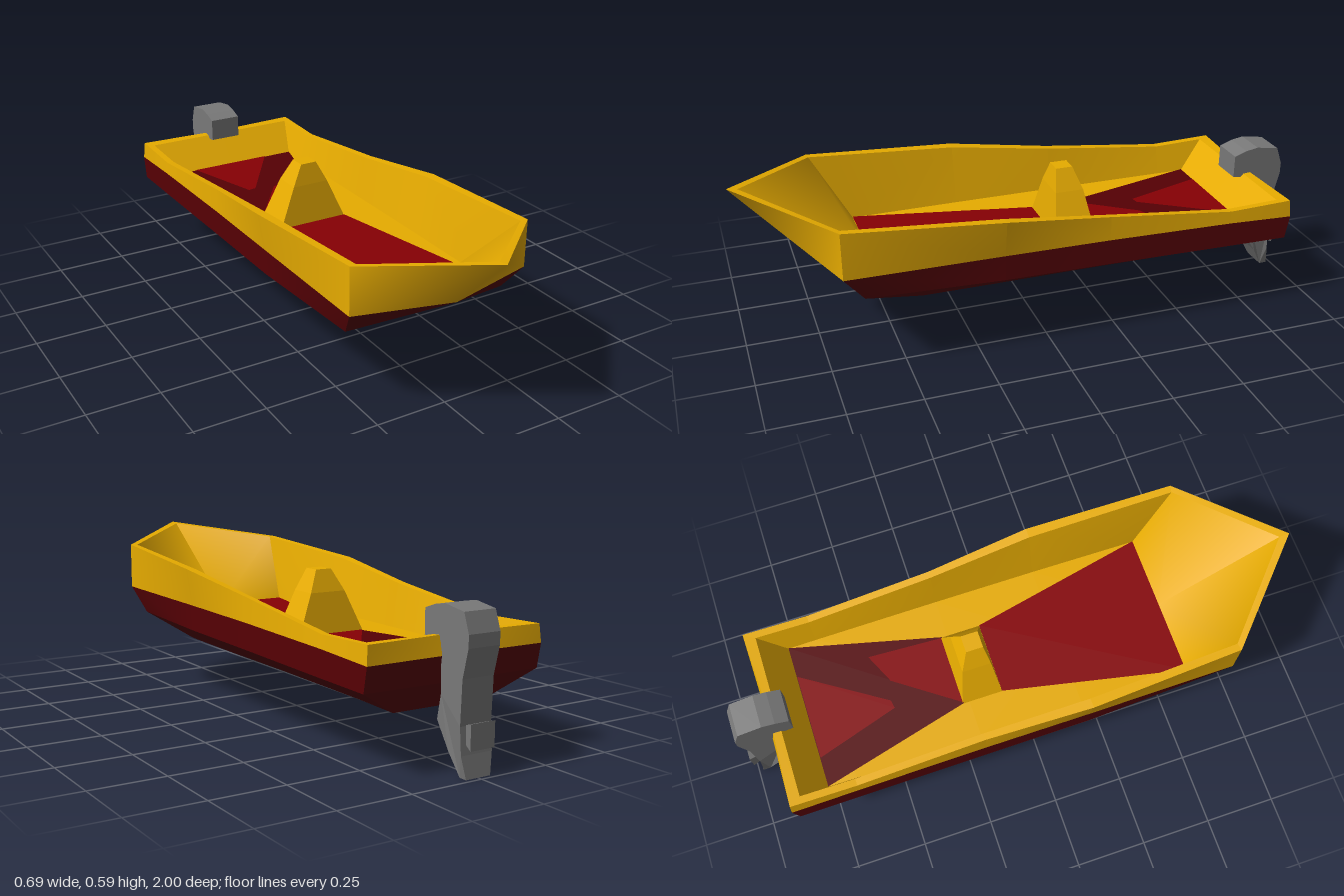
import * as THREE from 'three';

const mat = (name, color) => Object.assign(new THREE.MeshStandardMaterial({ color }), { name });

// Turns half an outline (bow centre to stern centre) into a closed loop
function mirrorLoop(half) {
  const other = half.slice(1, -1).reverse().map(([x, y, z]) => [-x, y, z]);
  return [...half, ...other].map(p => new THREE.Vector3(...p));
}

// Skin through a stack of equal-length loops: crisp between panels, smooth across each twisted panel
function loft(loops) {
  const pos = [], nor = [];
  const cross = (o, a, b) => a.clone().sub(o).cross(b.clone().sub(o));
  const panel = (q, order) => {
    const mean = q[2].clone().sub(q[0]).cross(q[3].clone().sub(q[1])).normalize();
    const normals = q.map((v, i) => {
      const n = cross(v, q[(i + 1) % 4], q[(i + 3) % 4]);
      return n.length() < 1e-6 ? mean : n.normalize();
    });
    for (const t of order) {
      if (cross(q[t[0]], q[t[1]], q[t[2]]).length() < 1e-7) continue;
      for (const i of t) {
        pos.push(...q[i].toArray());
        nor.push(...normals[i].toArray());
      }
    }
  };
  for (let k = 0; k + 1 < loops.length; k++) {
    const lo = loops[k], hi = loops[k + 1], n = lo.length;
    for (let i = 0; i < n; i++) {
      const j = (i + 1) % n;
      // Diagonals are mirrored from one side to the other
      const order = i < n / 2 ? [[0, 1, 3], [1, 2, 3]] : [[0, 1, 2], [0, 2, 3]];
      panel([lo[i], lo[j], hi[j], hi[i]], order);
    }
  }
  const g = new THREE.BufferGeometry();
  g.setAttribute('position', new THREE.Float32BufferAttribute(pos, 3));
  g.setAttribute('normal', new THREE.Float32BufferAttribute(nor, 3));
  return g;
}

// Level polygon from [x, z] corners
function plate(corners, y) {
  const shape = new THREE.Shape(corners.map(([x, z]) => new THREE.Vector2(x, -z)));
  return new THREE.ShapeGeometry(shape).rotateX(-Math.PI / 2).translate(0, y, 0);
}

export function createModel() {
  const boat = new THREE.Group();
  boat.name = 'motorBoat';
  const yellow = mat('yellowPaint', 0xf2b400);
  const darkRed = mat('darkRedHull', 0x560004);
  const red = mat('redFloor', 0x860004);
  const grey = mat('motorGrey', 0x797979);
  const add = (parent, name, geometry, material) => {
    const m = new THREE.Mesh(geometry, material);
    m.name = name;
    parent.add(m);
  };

  // Hull outlines, each from bow to stern
  const keel = [[0, .2, .42], [.2, .2, .42], [.19, .193, .17], [.185, .19, -.2], [.18, .183, -.65], [.177, .177, -.81], [0, .177, -.81]];
  const chine = [[0, .28, .64], [.295, .28, .63], [.325, .28, .17], [.325, .275, -.2], [.325, .267, -.65], [.325, .264, -.87], [0, .262, -.87]];
  const water = [[0, .373, .785], [.325, .373, .7], [.327, .37, .17], [.325, .365, -.2], [.325, .355, -.65], [.325, .345, -.885], [0, .345, -.88]];
  const rim = [[0, .59, 1], [.325, .537, .7], [.346, .5, .17], [.322, .45, -.2], [.32, .398, -.65], [.32, .405, -.88], [0, .405, -.865]];
  const lip = [[0, .585, .965], [.3, .536, .695], [.312, .498, .17], [.298, .448, -.2], [.295, .397, -.65], [.295, .403, -.84], [0, .403, -.84]];
  const floorY = .295;
  const floor = [[0, .56], [.265, .56], [.268, .17], [.268, -.2], [.266, -.65], [.265, -.75], [0, -.75]].map(([x, z]) => [x, floorY, z]);
  const centred = half => half.map(([, y, z]) => [0, y, z]);

  add(boat, 'lowerHull', loft([centred(keel), keel, chine, water].map(mirrorLoop)), darkRed);
  add(boat, 'upperHull', loft([water, rim, lip, floor, centred(floor)].map(mirrorLoop)), yellow);

  // Painted floor panels, tapering towards the seat
  add(boat, 'frontFloor', plate([[-.265, .56], [.265, .56], [.13, -.08], [-.13, -.08]], floorY + .004), red);
  add(boat, 'rearFloor', plate([[-.13, -.22], [.13, -.22], [.265, -.75], [-.265, -.75]], floorY + .004), darkRed);
  add(boat, 'rearFloorPatch', plate([[-.16, -.748], [.15, -.748], [-.04, -.46], [-.07, -.455]], floorY + .007), red);
  add(boat, 'middleFloorPatch', plate([[.14, -.49], [.126, -.222], [-.128, -.222], [.03, -.44]], floorY + .007), red);

  // Seat pedestal: [y, half width, front z, back z], closed by a flat top
  const seat = [[floorY, .13, -.08, -.225], [.44, .068, -.098, -.2], [.515, .03, -.112, -.172], [.515, 0, -.14, -.14]];
  add(boat, 'seatPedestal', loft(seat.map(([y, w, f, b]) =>
    [[-w, f], [w, f], [w, b], [-w, b]].map(([x, z]) => new THREE.Vector3(x, y, z)))), yellow);

  // Outboard motor: side profile in [z, y], narrowed at the foot
  const motor = new THREE.Group();
  motor.name = 'outboardMotor';
  boat.add(motor);
  const profile = [[-.8, .395], [-.8, .476], [-.845, .492], [-.89, .5], [-.973, .487], [-.995, .425], [-.995, .385], [-.973, .294],
    [-.968, .155], [-.975, .07], [-.985, 0], [-.957, 0], [-.92, .07], [-.865, .155], [-.88, .235], [-.875, .385]];
  const width = .116;
  const body = new THREE.ExtrudeGeometry(new THREE.Shape(profile.map(p => new THREE.Vector2(...p))), { depth: width, bevelEnabled: false });
  body.translate(0, 0, -width / 2).rotateY(-Math.PI / 2);
  const p = body.attributes.position;
  for (let i = 0; i < p.count; i++) if (p.getY(i) < .05) p.setX(i, p.getX(i) * .78);
  body.computeVertexNormals();
  add(motor, 'motorBody', body, grey);

  // Propeller block
  const prop = [[-.96, .035, .105, .155], [-1, .045, .088, .168], [-1, 0, .128, .128]];
  add(motor, 'propeller', loft(prop.map(([z, w, lo, hi]) =>
    [[w, lo], [-w, lo], [-w, hi], [w, hi]].map(([x, y]) => new THREE.Vector3(x, y, z)))), grey);

  return boat;
}
